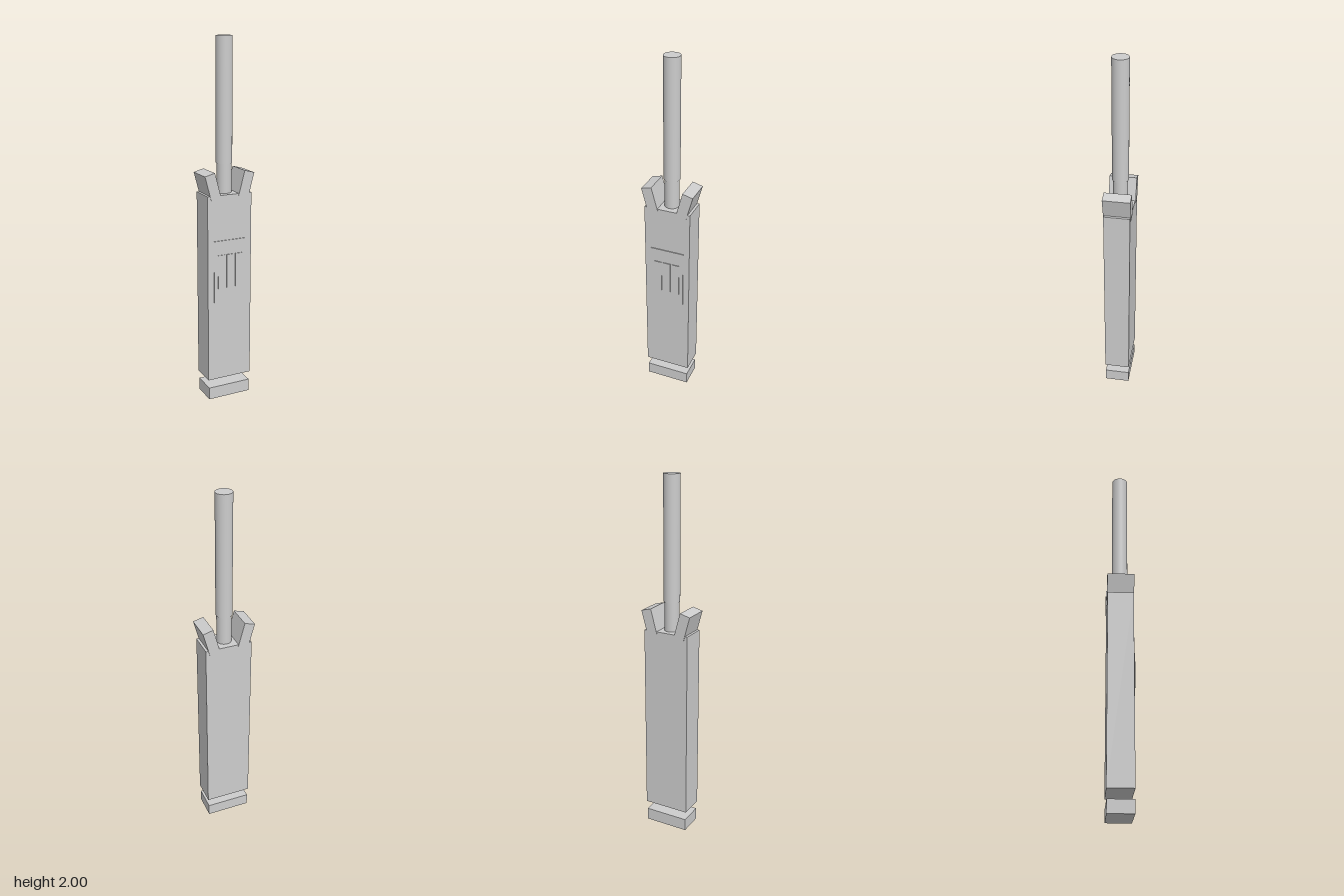
import * as THREE from 'three';

export function createModel() {
  const model = new THREE.Group();
  model.name = 'cricketBat';
  const grey = new THREE.MeshStandardMaterial({ color: 0xcccccc });
  grey.name = 'plain grey';
  const midZ = -0.004;

  function add(name, geometry, x, y, z) {
    const mesh = new THREE.Mesh(geometry, grey);
    mesh.name = name;
    mesh.position.set(x, y, z);
    model.add(mesh);
    return mesh;
  }
  // Box given by its bottom and top heights
  const box = (name, x, bottom, top, z, width, depth) =>
    add(name, new THREE.BoxGeometry(width, top - bottom, depth), x, (bottom + top) / 2, z);
  const rod = (name, radius, bottom, top) =>
    add(name, new THREE.CylinderGeometry(radius, radius, top - bottom, 32), 0, (bottom + top) / 2, midZ);

  // Blade and the separate toe below it
  box('blade', 0, 0.12, 1.18, midZ, 0.26, 0.141);
  box('toe', 0, 0, 0.07, midZ, 0.25, 0.138);

  // Handle with a slightly wider grip
  rod('handle', 0.04, 1.1, 1.36);
  rod('grip', 0.044, 1.34, 2);

  // Shoulders leaning outwards
  for (const side of [1, -1]) {
    const shoulder = add(side > 0 ? 'leftShoulder' : 'rightShoulder',
      new THREE.BoxGeometry(0.059, 0.138, 0.147), side * 0.0986, 1.229, midZ);
    shoulder.rotation.z = -side * Math.PI / 12;
  }

  // Face panel with three raised strips
  box('facePanel', 0, 0.58, 0.93, 0.068, 0.19, 0.006);
  for (const x of [-0.052, 0, 0.052]) {
    box('faceStrip', x, 0.66, 0.85, 0.072, 0.042, 0.006);
  }
  return model;
}
